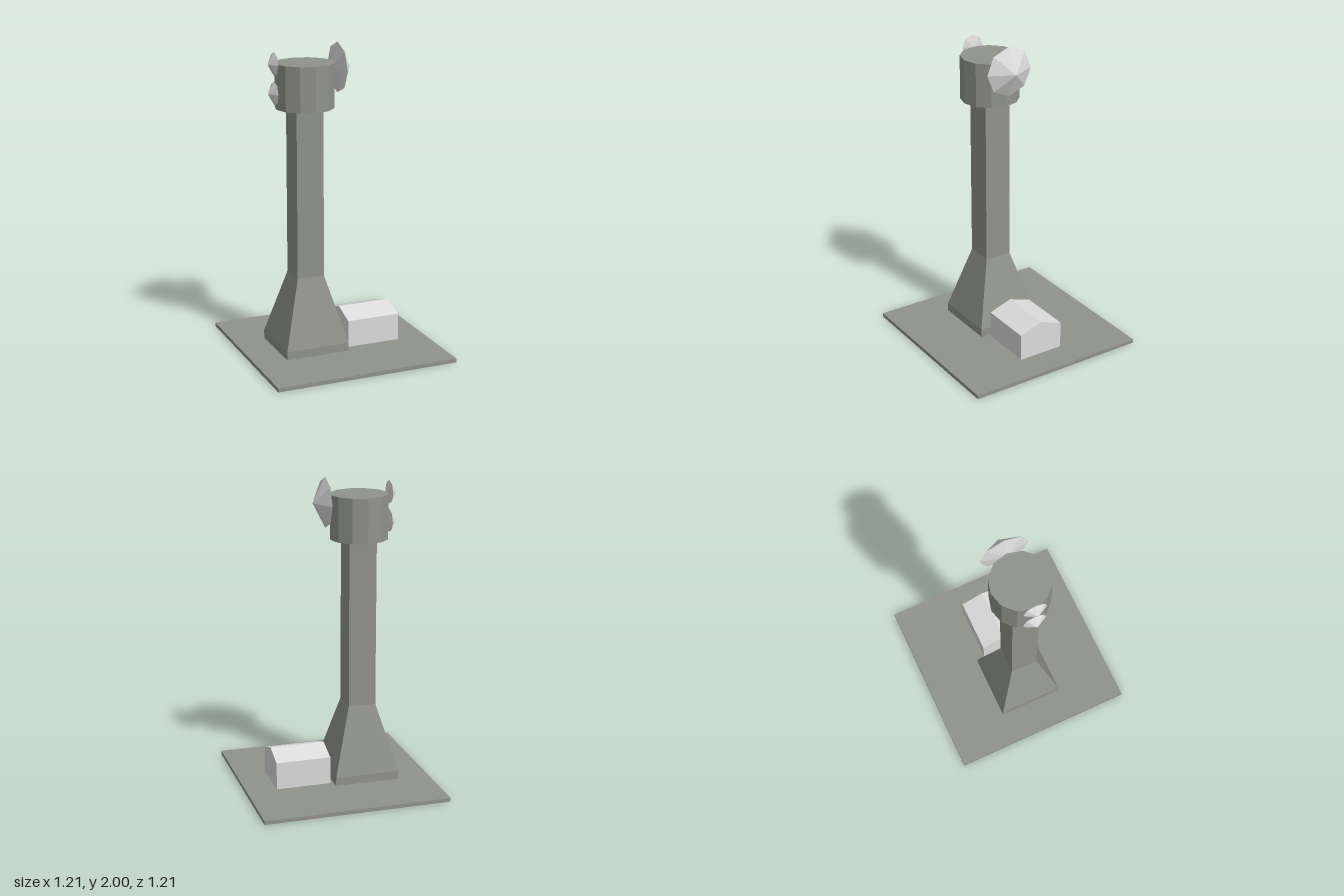
import * as THREE from 'three';

const concrete = new THREE.MeshStandardMaterial({ color: 0x90938a, flatShading: true });
concrete.name = 'concrete grey';
const paleGrey = new THREE.MeshStandardMaterial({ color: 0xdcdcdc, flatShading: true });
paleGrey.name = 'pale grey';

const TOWER_X = -0.183;

export function createModel() {
  const model = new THREE.Group();
  model.name = 'radioTower';

  function add(name, geometry, material, x, y, z) {
    const mesh = new THREE.Mesh(geometry, material);
    mesh.name = name;
    mesh.position.set(x, y, z);
    model.add(mesh);
    return mesh;
  }

  // Ground slab
  add('baseSlab', new THREE.BoxGeometry(1.21, 0.025, 1.21), concrete, 0, 0.0125, 0);

  // Square tower: plinth, tapered foot and straight shaft, given as half width and height
  const profile = [[0.212, 0.025], [0.212, 0.08], [0.09, 0.515], [0.09, 1.6]]
    .map(([half, y]) => new THREE.Vector2(half * Math.SQRT2, y));
  add('towerShaft', new THREE.LatheGeometry(profile, 4, Math.PI / 4), concrete, TOWER_X, 0, 0);

  // Twelve-sided cabin at the top
  add('towerHead', new THREE.CylinderGeometry(0.187, 0.187, 0.285, 12), concrete, TOWER_X, 1.7425, 0);

  // Eight-sided dishes: shallow cone behind the rim, longer cone in front; side is +1 or -1 in x
  function addDish(name, side, backX, y, rimDepth, radius, length) {
    const points = [[0, 0], [radius, rimDepth], [0, length]].map(([r, h]) => new THREE.Vector2(r, h));
    const dish = add(name, new THREE.LatheGeometry(points, 8), paleGrey, backX, y, 0);
    dish.rotation.z = -side * Math.PI / 2;
  }
  addDish('largeDish', 1, 0.001, 1.84, 0.037, 0.16, 0.119);
  addDish('upperSmallDish', -1, -0.365, 1.885, 0.018, 0.075, 0.06);
  addDish('lowerSmallDish', -1, -0.365, 1.703, 0.018, 0.075, 0.06);

  // Gabled hut with its ridge along x
  const gable = new THREE.Shape([
    [-0.154, 0.025], [0.154, 0.025], [0.154, 0.203], [0, 0.255], [-0.154, 0.203],
  ].map(([x, y]) => new THREE.Vector2(x, y)));
  const hut = add('hut', new THREE.ExtrudeGeometry(gable, { depth: 0.358, bevelEnabled: false }),
    paleGrey, 0.051, 0, 0);
  hut.rotation.y = Math.PI / 2;

  return model;
}
